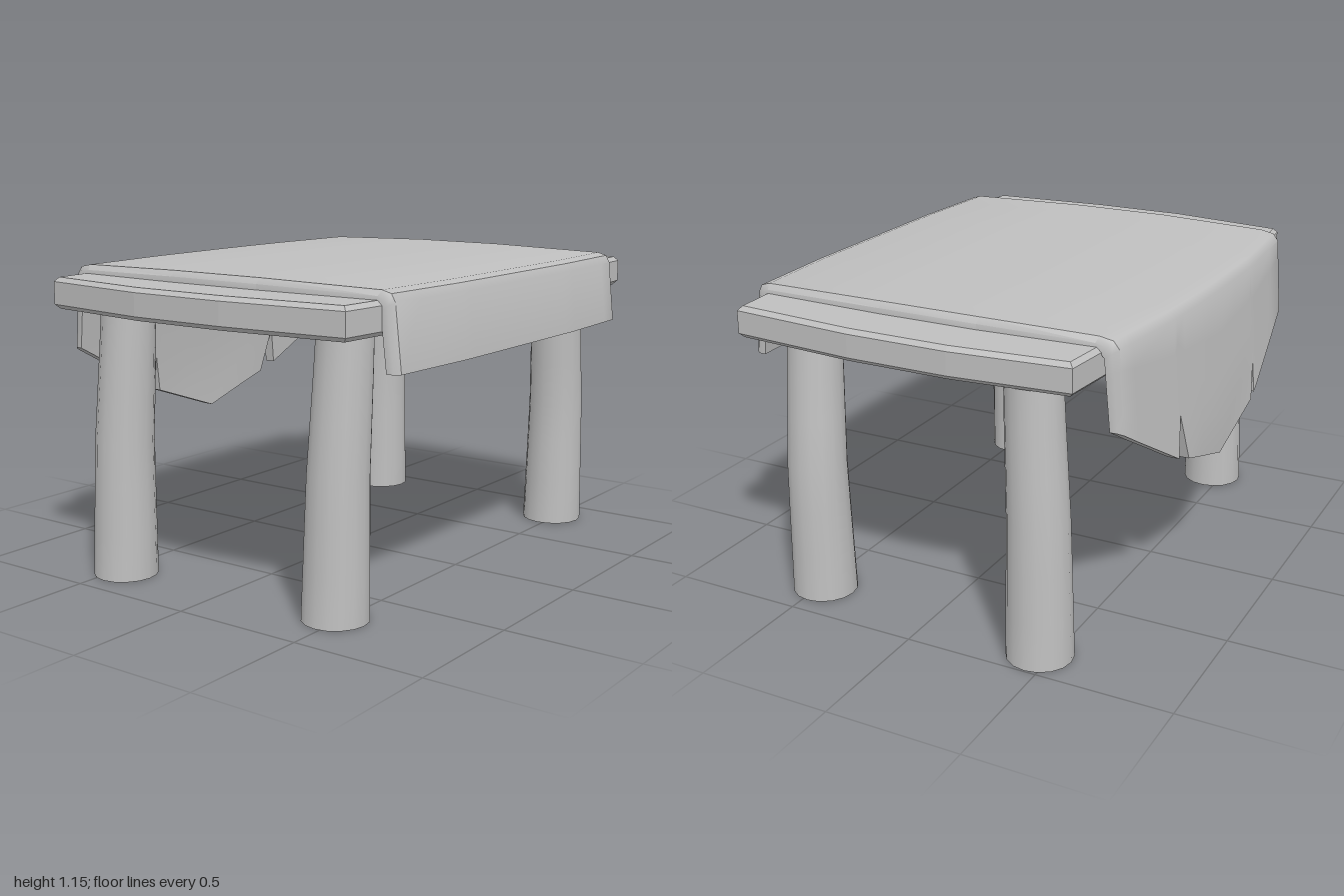
import * as THREE from 'three';
import { toCreasedNormals } from 'three/addons/utils/BufferGeometryUtils.js';

const grey = new THREE.MeshStandardMaterial({ color: 0xbfbfbf });
grey.name = 'plain grey';

// Piecewise linear lookup through [key, value] pairs with rising keys
function lookup(pairs, k) {
  if (k <= pairs[0][0]) return pairs[0][1];
  for (let i = 1; i < pairs.length; i++) {
    const [k0, v0] = pairs[i - 1], [k1, v1] = pairs[i];
    if (k <= k1) return v0 + (v1 - v0) * (k - k0) / (k1 - k0);
  }
  return pairs[pairs.length - 1][1];
}

function addMesh(group, name, geometry) {
  const mesh = new THREE.Mesh(geometry, grey);
  mesh.name = name;
  group.add(mesh);
}

// Slab with slightly bowed sides and a small bevel
function tabletopGeometry() {
  const outline = [
    [-0.96, 0.68], [-0.4, 0.72], [0.4, 0.72], [0.96, 0.68], [1, 0.2], [1, -0.18],
    [0.96, -0.61], [0.4, -0.66], [-0.36, -0.69], [-0.935, -0.645], [-1, -0.18], [-1, 0.2],
  ];
  const shape = new THREE.Shape(outline.map(([x, z]) => new THREE.Vector2(x, z)));
  const b = 0.016;
  const geo = new THREE.ExtrudeGeometry(shape, {
    depth: 0.115 - 2 * b, bevelEnabled: true, bevelSize: b, bevelThickness: b,
    bevelOffset: -b, bevelSegments: 1,
  });
  geo.rotateX(Math.PI / 2);
  geo.translate(0, 1.115 - b, 0);
  return geo;
}

// Tapered post whose centre line bends through bottom, middle and top
function legGeometry(bottom, middle, top) {
  const h = 1.03;
  const geo = new THREE.CylinderGeometry(0.098, 0.12, h, 16, 6);
  geo.translate(0, h / 2, 0);
  const p = geo.attributes.position;
  for (let i = 0; i < p.count; i++) {
    const y = p.getY(i);
    const at = (a) => lookup([[0, bottom[a]], [0.5, middle[a]], [1, top[a]]], y);
    p.setX(i, p.getX(i) + at(0));
    p.setZ(i, p.getZ(i) + at(1));
  }
  return toCreasedNormals(geo, 0.7);
}

// Thick cloth: cross-sections in z and y, swept along x, with a torn back hem
function clothGeometry() {
  const hem = [
    [-0.775, 0.83], [-0.62, 0.75], [-0.34, 0.61], [-0.335, 0.735], [-0.31, 0.59], [0, 0.48],
    [0.32, 0.58], [0.38, 0.76], [0.405, 0.61], [0.68, 0.77], [0.78, 0.83],
  ];
  const frontIn = [[-0.775, -0.02], [-0.38, 0], [0.38, 0], [0.78, -0.02]];
  const backIn = [[-0.775, 0.03], [-0.36, 0], [0.1, 0], [0.4, 0.015], [0.78, 0.055]];
  const widen = [[-0.75, 0], [-0.2, 0.035], [0.2, 0.035], [0.75, 0.008]];
  // Front hem, over the top, to the back fold
  const outer = [[0.775, 0.88], [0.75, 1.11], [0.735, 1.137], [0.7, 1.147], [0.2, 1.155],
    [-0.2, 1.155], [-0.66, 1.147], [-0.712, 1.137], [-0.733, 1.11]];
  const inner = [[0.73, 0.88], [0.707, 1.08], [0.702, 1.09], [0.69, 1.1], [0.2, 1.105],
    [-0.2, 1.105], [-0.65, 1.1], [-0.68, 1.09], [-0.69, 1.08]];
  // Depth of the hanging back by height
  const backOuter = [[0.48, -0.765], [0.6, -0.775], [0.82, -0.757], [1.11, -0.733]];
  const backInner = [[0.48, -0.728], [0.6, -0.732], [0.82, -0.715], [1.08, -0.69]];
  const hangSteps = 4;

  function side(u, points, back) {
    const list = points.map((q) => [...q]);
    const y0 = points[points.length - 1][1], y1 = lookup(hem, u);
    for (let s = 1; s <= hangSteps; s++) {
      const y = y0 + (y1 - y0) * s / hangSteps;
      list.push([lookup(back, y), y]);
    }
    return list;
  }

  const us = [...hem.map((q) => q[0]), -0.757, 0.762, -0.38, 0.2, -0.16].sort((a, b) => a - b);
  const half = outer.length + hangSteps, n = 2 * half;
  const positions = [], index = [];
  us.forEach((u, c) => {
    const o = side(u, outer, backOuter), i = side(u, inner, backInner);
    // Soften the outer rim at both ends
    if (c === 0 || c === us.length - 1) {
      o.forEach((q, k) => { for (const a of [0, 1]) q[a] += (i[k][a] - q[a]) * 0.4; });
    }
    for (const [z, y] of [...o, ...i.reverse()]) {
      const shift = lookup(z > 0 ? frontIn : backIn, u) * Math.min(1, Math.abs(z) / 0.7);
      positions.push(u * (1 + lookup(widen, z)), y, z + shift);
    }
  });
  const quad = (a, b, c, d) => index.push(a, b, c, a, c, d);
  for (let c = 0; c < us.length - 1; c++) {
    for (let j = 0; j < n; j++) {
      const k = (j + 1) % n;
      quad(c * n + j, (c + 1) * n + j, (c + 1) * n + k, c * n + k);
    }
  }
  // End caps
  const e = (us.length - 1) * n;
  for (let j = 0; j < half - 1; j++) {
    const k = n - 1 - j;
    quad(e + j, e + k, e + k - 1, e + j + 1);
    quad(j + 1, k - 1, k, j);
  }
  const geo = new THREE.BufferGeometry();
  geo.setAttribute('position', new THREE.Float32BufferAttribute(positions, 3));
  geo.setIndex(index);
  return toCreasedNormals(geo, 0.75);
}

export function createModel() {
  const table = new THREE.Group();
  table.name = 'table';
  addMesh(table, 'tabletop', tabletopGeometry());
  addMesh(table, 'tablecloth', clothGeometry());
  // Each leg bends a little differently
  addMesh(table, 'frontLeftLeg', legGeometry([0.815, 0.48], [0.815, 0.485], [0.77, 0.495]));
  addMesh(table, 'frontRightLeg', legGeometry([-0.745, 0.48], [-0.735, 0.485], [-0.705, 0.495]));
  addMesh(table, 'backLeftLeg', legGeometry([0.875, -0.455], [0.87, -0.447], [0.855, -0.42]));
  addMesh(table, 'backRightLeg', legGeometry([-0.805, -0.455], [-0.8, -0.447], [-0.785, -0.42]));
  return table;
}
